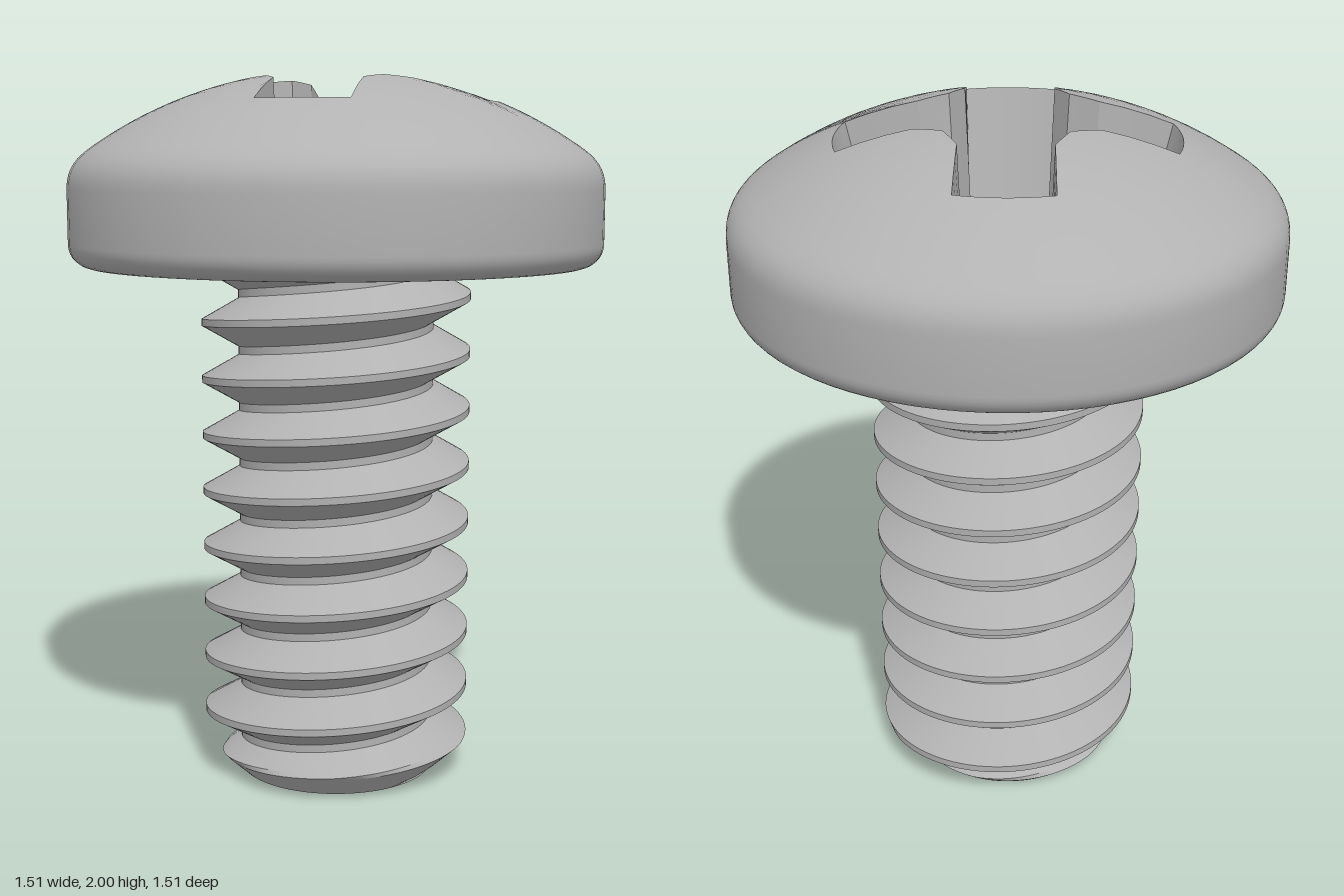
import * as THREE from 'three';
import { toCreasedNormals } from 'three/addons/utils/BufferGeometryUtils.js';

// Joins successive rings of points into a surface, skipping collapsed triangles.
function loft(rings, crease) {
  const pos = [];
  const tri = new THREE.Triangle();
  const add = (a, b, c) => {
    tri.set(a, b, c);
    if (tri.getArea() > 1e-9) for (const p of [a, b, c]) pos.push(p.x, p.y, p.z);
  };
  for (let j = 0; j < rings.length - 1; j++) {
    const r = rings[j], s = rings[j + 1];
    for (let i = 0; i < r.length - 1; i++) {
      add(r[i], s[i], s[i + 1]);
      add(r[i], s[i + 1], r[i + 1]);
    }
  }
  const geo = new THREE.BufferGeometry();
  geo.setAttribute('position', new THREE.Float32BufferAttribute(pos, 3));
  return toCreasedNormals(geo, crease);
}

const polar = (r, a, y) => new THREE.Vector3(r * Math.cos(a), y, -r * Math.sin(a));

// Cross-shaped outline as [radius, angle] pairs: arm end arc, arm side, blunt nose, next side.
function crossOutline(end, side, nose) {
  const tip = Math.atan2(end[1], end[0]), reach = Math.hypot(...end);
  const swap = ([u, v]) => [v, u];
  const corners = [end, side, [nose, nose], swap(side), swap(end)];
  const steps = [3, 4, 4, 3];
  const quarter = [];
  for (let i = 0; i < 8; i++) quarter.push([reach, tip * (i / 4 - 1)]);
  steps.forEach((n, k) => {
    for (let i = 0; i < n; i++) {
      const u = THREE.MathUtils.lerp(corners[k][0], corners[k + 1][0], i / n);
      const v = THREE.MathUtils.lerp(corners[k][1], corners[k + 1][1], i / n);
      quarter.push([Math.hypot(u, v), Math.atan2(v, u)]);
    }
  });
  const out = [];
  for (let q = 0; q < 4; q++) {
    for (const [r, a] of quarter) out.push([r, a + q * Math.PI / 2 + THREE.MathUtils.degToRad(24)]);
  }
  out.push(out[0]);
  return out;
}

// Domed pan head with a tapered cross recess
function headGeometry() {
  const R = 1.2, apex = 2.022, floorY = 1.52, domeEdge = 0.68;
  const dome = r => apex - R + Math.sqrt(R * R - r * r);
  const rim = crossOutline([0.444, 0.127], [0.243, 0.123], 0.163);
  const floor = crossOutline([0.353, 0.117], [0.225, 0.105], 0.141);
  const rings = [
    floor.map(() => new THREE.Vector3(0, floorY, 0)),
    floor.map(([r, a]) => polar(r, a, floorY)),
  ];
  for (let k = 0; k <= 8; k++) {
    rings.push(rim.map(([r0, a]) => {
      const r = THREE.MathUtils.lerp(r0, domeEdge, k / 8);
      return polar(r, a, dome(r));
    }));
  }
  // Rounded shoulder, side wall and rounded lower edge
  const shoulder = new THREE.CubicBezierCurve(
    new THREE.Vector2(domeEdge, dome(domeEdge)), new THREE.Vector2(0.725, dome(domeEdge) - 0.031),
    new THREE.Vector2(0.755, 1.75), new THREE.Vector2(0.755, 1.69));
  const profile = shoulder.getPoints(8).slice(1);
  for (let i = 0; i <= 8; i++) {
    const t = i / 8 * Math.PI / 2;
    profile.push(new THREE.Vector2(0.69 + 0.065 * Math.cos(t), 1.54 - 0.065 * Math.sin(t)));
  }
  profile.push(new THREE.Vector2(0, 1.475));
  for (const p of profile) rings.push(rim.map(([, a]) => polar(p.x, a, p.y)));
  return loft(rings, 0.4);
}

// Right-handed helical thread with a chamfered, flat tip
function threadGeometry() {
  const pitch = 0.1622, crest = 0.385, root = 0.28, top = 1.48, columns = 96;
  const crestAt = a => 1.337 + pitch * (a - Math.PI) / (2 * Math.PI);
  const radius = (a, y) => {
    const turns = (y - crestAt(a)) / pitch;
    const d = Math.abs(turns - Math.round(turns)) * pitch;
    const r = THREE.MathUtils.mapLinear(THREE.MathUtils.clamp(d, 0.01, 0.07), 0.01, 0.07, crest, root);
    return Math.min(r, root + 1.1 * y);
  };
  const offsets = [];
  for (let i = 0; i <= 5; i++) offsets.push(-0.01 - 0.012 * i);
  for (let i = 0; i <= 5; i++) offsets.push(-pitch + 0.07 - 0.012 * i);
  const rings = [];
  for (let k = 2; k >= -10; k--) {
    for (const o of offsets) {
      const ring = [];
      for (let i = 0; i <= columns; i++) {
        const a = i / columns * 2 * Math.PI;
        const y = THREE.MathUtils.clamp(crestAt(a) + k * pitch + o, 0, top);
        ring.push(polar(radius(a, y), a, y));
      }
      rings.push(ring);
    }
  }
  rings.push(rings[0].map(() => new THREE.Vector3(0, 0, 0)));
  return loft(rings, 0.4);
}

export function createModel() {
  const steel = new THREE.MeshStandardMaterial({ color: 0xb2b2b2 });
  steel.name = 'steel grey';
  const group = new THREE.Group();
  group.name = 'screw';
  const add = (name, geo) => {
    const mesh = new THREE.Mesh(geo, steel);
    mesh.name = name;
    group.add(mesh);
  };
  add('head', headGeometry());
  add('threadedShank', threadGeometry());
  return group;
}
